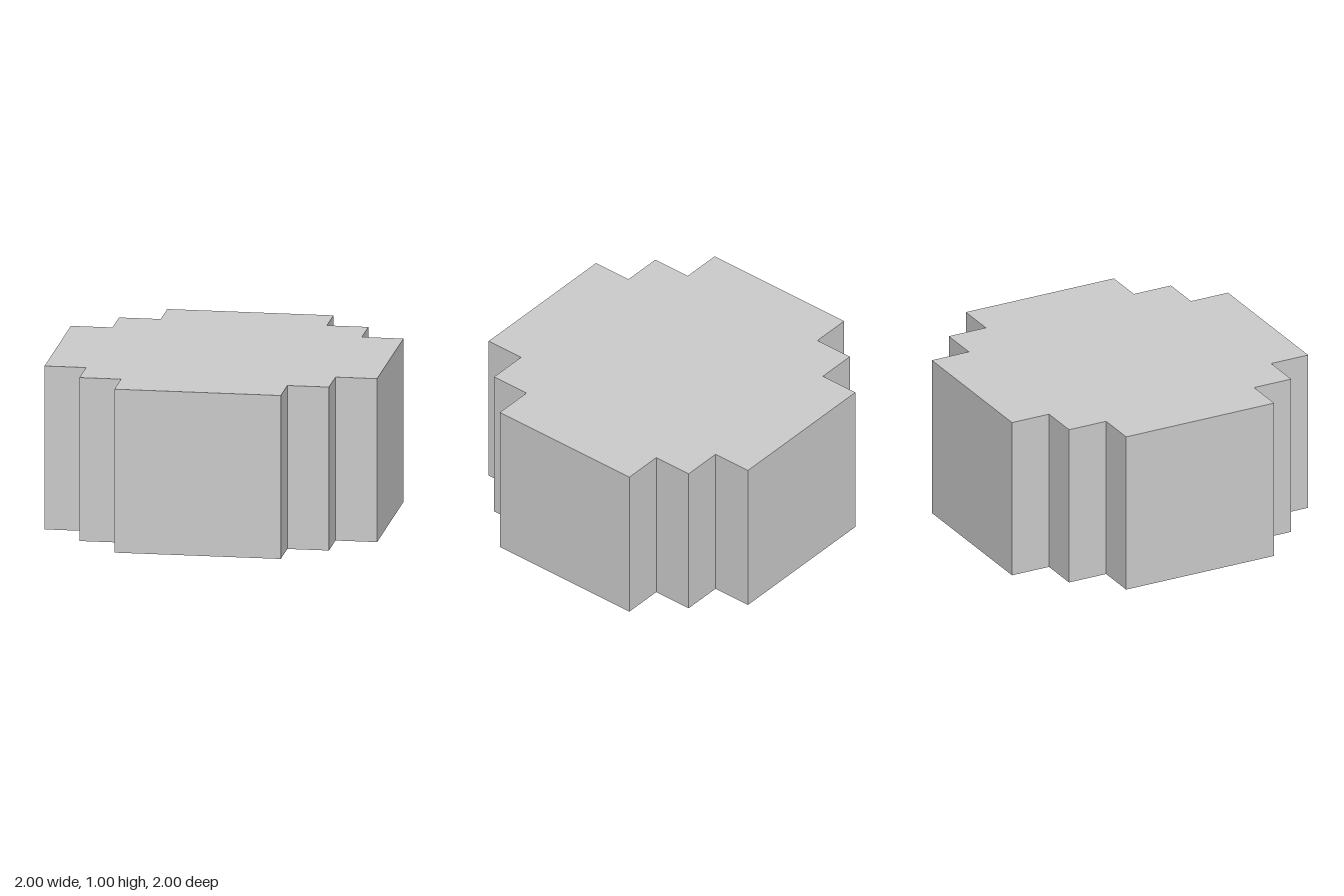
import * as THREE from 'three';

export function createModel() {
  const group = new THREE.Group();
  group.name = 'steppedBlock';

  // One quarter of the stepped outline, turned four times about the centre
  const quarter = [[1, -0.5], [1, 0.5], [0.75, 0.5], [0.75, 0.75], [0.5, 0.75]];
  const outline = [];
  for (let i = 0; i < 4; i++) {
    for (const [x, y] of quarter) {
      const p = new THREE.Vector2(x, y);
      for (let k = 0; k < i; k++) p.set(-p.y, p.x);
      outline.push(p);
    }
  }

  // Solid prism, extruded and laid so that it rises from the ground
  const geometry = new THREE.ExtrudeGeometry(new THREE.Shape(outline), {
    depth: 1,
    bevelEnabled: false,
  });
  geometry.rotateX(-Math.PI / 2);

  const body = new THREE.Mesh(
    geometry,
    new THREE.MeshStandardMaterial({ color: 0xcccccc, flatShading: true })
  );
  body.name = 'body';
  group.add(body);
  return group;
}
